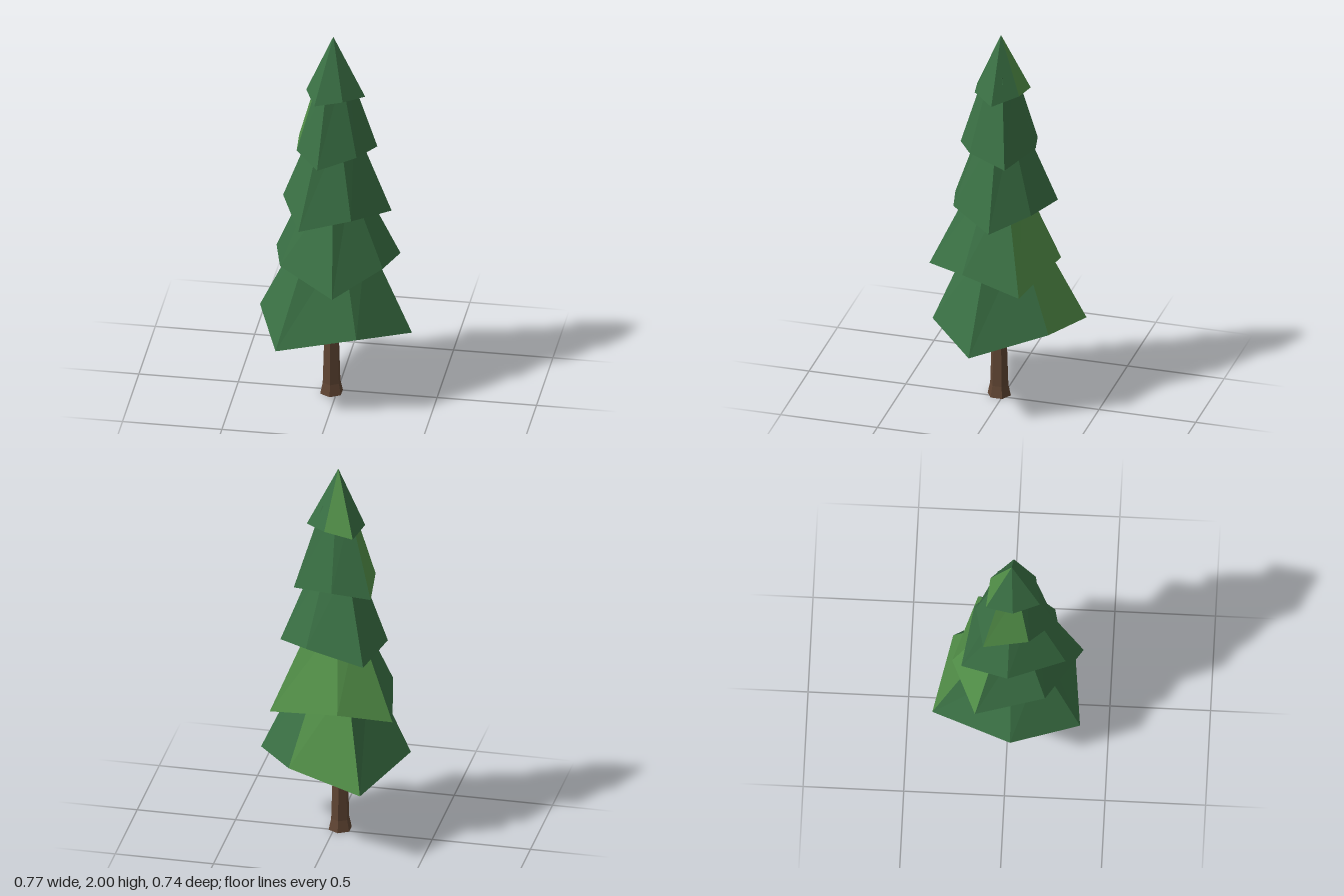
import * as THREE from 'three';

const AXIS_X = -0.02, AXIS_Z = 0.013;

// Each ring runs from back left, past the back right and front, and alternates low and high tips.
// low/high: heights of the tips, top/shrink: height and scale of the upper ring, light: paler faces
const TIERS = [
  { low: 0.39, high: 0.463, top: 0.9, shrink: 0.42, light: [0],
    ring: [[-0.216, -0.372], [0.166, -0.287], [0.384, 0.062], [0.146, 0.318], [-0.253, 0.364], [-0.387, 0.023]] },
  { low: 0.708, high: 0.778, top: 1.2, shrink: 0.35, light: [0, 1],
    ring: [[-0.333, -0.155], [-0.08, -0.28], [0.288, -0.169], [0.249, 0.135], [0.032, 0.368], [-0.259, 0.19]] },
  { low: 1.032, high: 1.08, top: 1.51, shrink: 0.36, light: [],
    ring: [[-0.2, -0.229], [0.102, -0.178], [0.27, -0.008], [0.104, 0.223], [-0.15, 0.287], [-0.274, 0.004]] },
  { low: 1.357, high: 1.393, top: 1.8, shrink: 0.36, light: [5],
    ring: [[-0.214, -0.12], [-0.024, -0.165], [0.189, -0.066], [0.117, 0.136], [-0.065, 0.235], [-0.189, 0.105]] },
  { low: 1.677, high: 1.697, top: 2, shrink: 0, light: [0],
    ring: [[-0.121, -0.111], [0.028, -0.095], [0.141, 0.016], [0.046, 0.13], [-0.092, 0.157], [-0.154, 0.025]] },
];

// One skirt of foliage: sloping sides, a hollowed underside and a closed top
function tierGeometry({ low, high, top, shrink, light, ring }) {
  const n = ring.length;
  const bottom = ring.map(([x, z], i) => [x, i % 2 ? high : low, z]);
  const upper = ring.map(([x, z]) => [AXIS_X + (x - AXIS_X) * shrink, top, AXIS_Z + (z - AXIS_Z) * shrink]);
  const below = [AXIS_X, (low + high) / 2 + 0.05, AXIS_Z];
  const above = [AXIS_X, top, AXIS_Z];
  const positions = [];
  const geometry = new THREE.BufferGeometry();

  for (let i = 0; i < n; i++) {
    const j = (i + 1) % n;
    const start = positions.length / 3;
    const add = (...corners) => corners.forEach((p) => positions.push(...p));
    add(bottom[j], bottom[i], upper[i]);
    if (shrink > 0) add(bottom[j], upper[i], upper[j]);
    geometry.addGroup(start, positions.length / 3 - start, light.includes(i) ? 1 : 0);

    const inner = positions.length / 3;
    add(bottom[i], bottom[j], below);
    if (shrink > 0) add(upper[j], upper[i], above);
    geometry.addGroup(inner, positions.length / 3 - inner, 0);
  }
  geometry.setAttribute('position', new THREE.Float32BufferAttribute(positions, 3));
  geometry.computeVertexNormals();
  return geometry;
}

export function createModel() {
  const model = new THREE.Group();
  model.name = 'pineTree';

  const makeMaterial = (name, color) => {
    const material = new THREE.MeshStandardMaterial({ color, flatShading: true });
    material.name = name;
    return material;
  };
  const darkGreen = makeMaterial('darkGreen', 0x3a7044);
  const lightGreen = makeMaterial('lightGreen', 0x528f48);
  const bark = makeMaterial('bark', 0x604533);

  // Six-sided trunk with a flared foot
  const trunk = new THREE.Group();
  trunk.name = 'trunk';
  const addSection = (name, rTop, rBottom, y0, y1) => {
    const mesh = new THREE.Mesh(new THREE.CylinderGeometry(rTop, rBottom, y1 - y0, 6, 1, name === 'trunkShaft'), bark);
    mesh.name = name;
    mesh.position.set(-0.027, (y0 + y1) / 2, 0.024);
    trunk.add(mesh);
  };
  addSection('trunkFoot', 0.047, 0.06, 0, 0.06);
  addSection('trunkShaft', 0.033, 0.047, 0.06, 0.5);
  model.add(trunk);

  // Stacked foliage
  TIERS.forEach((tier, i) => {
    const mesh = new THREE.Mesh(tierGeometry(tier), [darkGreen, lightGreen]);
    mesh.name = `foliageTier${i + 1}`;
    model.add(mesh);
  });
  return model;
}
